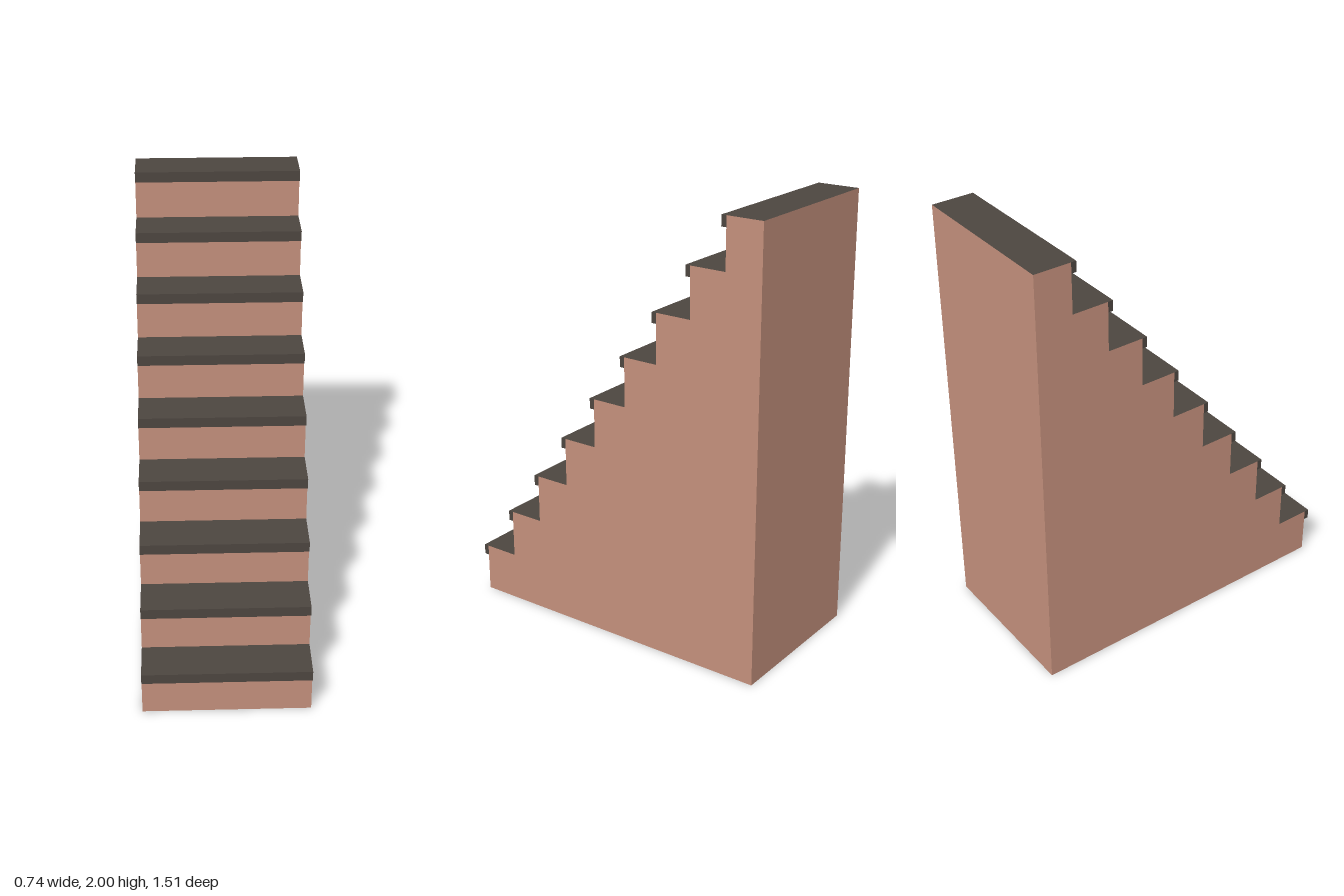
import * as THREE from 'three';

const STEPS = 9;
const WIDTH = 0.74;
const RISE = 2 / STEPS;
const RUN = 0.165;
const FRONT = 0.732; // first riser
const BACK = -0.755;
const NOSE_DEPTH = 0.023;
const NOSE_HEIGHT = 0.047;

export function createModel() {
  const group = new THREE.Group();
  group.name = 'staircase';

  const clay = new THREE.MeshStandardMaterial({ color: 0xc4907c });
  clay.name = 'clay';
  const darkTread = new THREE.MeshStandardMaterial({ color: 0x4d4640 });
  darkTread.name = 'dark tread';

  const riserZ = (i) => FRONT - i * RUN;

  // Solid stepped body: side profile (shape x = -z) extruded across the width
  const profile = new THREE.Shape();
  profile.moveTo(-BACK, 0);
  profile.lineTo(-BACK, 2);
  for (let i = STEPS - 1; i >= 0; i--) {
    profile.lineTo(-riserZ(i), (i + 1) * RISE);
    profile.lineTo(-riserZ(i), i * RISE);
  }
  profile.closePath();
  const bodyGeometry = new THREE.ExtrudeGeometry(profile, { depth: WIDTH, bevelEnabled: false });
  bodyGeometry.translate(0, 0, -WIDTH / 2);
  bodyGeometry.rotateY(Math.PI / 2);

  // Upward faces take the tread colour, everything else stays clay
  bodyGeometry.clearGroups();
  const normals = bodyGeometry.attributes.normal;
  for (let v = 0; v < normals.count; v += 3) {
    bodyGeometry.addGroup(v, 3, normals.getY(v) > 0.5 ? 1 : 0);
  }
  const body = new THREE.Mesh(bodyGeometry, [clay, darkTread]);
  body.name = 'stairBody';
  group.add(body);

  // Nosing strip overhanging each riser, flush with the tread
  const noseGeometry = new THREE.BoxGeometry(WIDTH, NOSE_HEIGHT, NOSE_DEPTH);
  for (let i = 0; i < STEPS; i++) {
    const nose = new THREE.Mesh(noseGeometry, darkTread);
    nose.name = `treadNosing${i + 1}`;
    nose.position.set(0, (i + 1) * RISE - NOSE_HEIGHT / 2, riserZ(i) + NOSE_DEPTH / 2);
    group.add(nose);
  }

  return group;
}
